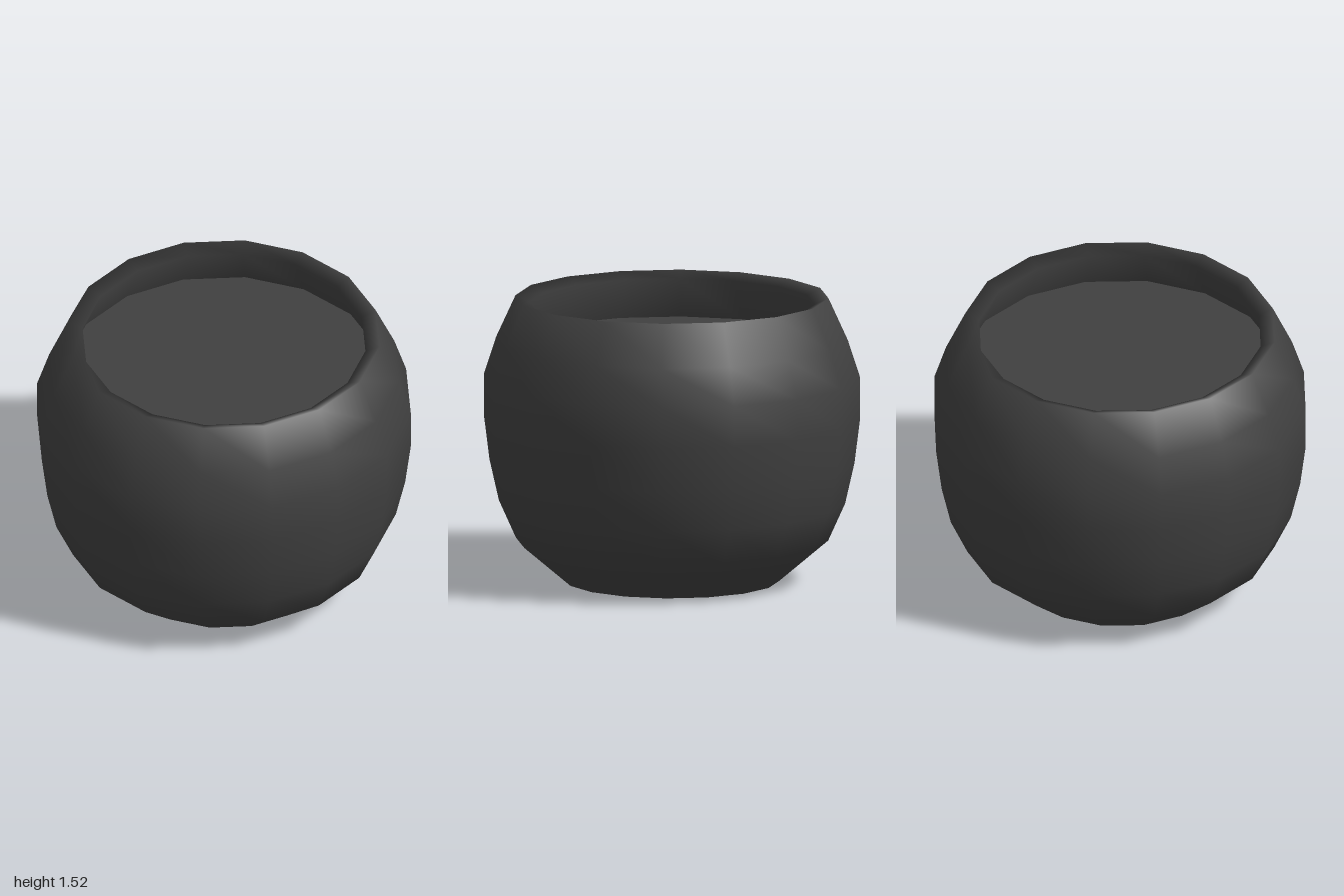
import * as THREE from 'three';

const SIDES = 16;

export function createModel() {
  const group = new THREE.Group();
  group.name = 'plantPot';
  const material = new THREE.MeshStandardMaterial({ color: 0x404040 });

  const add = (name, geometry, y = 0, tilt = 0) => {
    const mesh = new THREE.Mesh(geometry, material);
    mesh.name = name;
    mesh.position.y = y;
    mesh.rotation.x = tilt;
    group.add(mesh);
  };

  // Rounded wall: up the outside, over the thin lip and down the inside
  const profile = [
    [0.57, 0], [0.83, 0.22], [0.92, 0.42], [0.97, 0.64], [1, 0.88],
    [1, 1.1], [0.935, 1.3], [0.832, 1.525],
    [0.757, 1.49], [0.845, 1.27], [0.905, 1.08],
  ].map(([r, y]) => new THREE.Vector2(r, y));
  add('potWall', new THREE.LatheGeometry(profile, SIDES));

  // Flat underside and the soil surface set below the lip
  add('potBase', new THREE.CircleGeometry(0.57, SIDES), 0, Math.PI / 2);
  add('soil', new THREE.CircleGeometry(0.845, SIDES), 1.27, -Math.PI / 2);

  return group;
}
